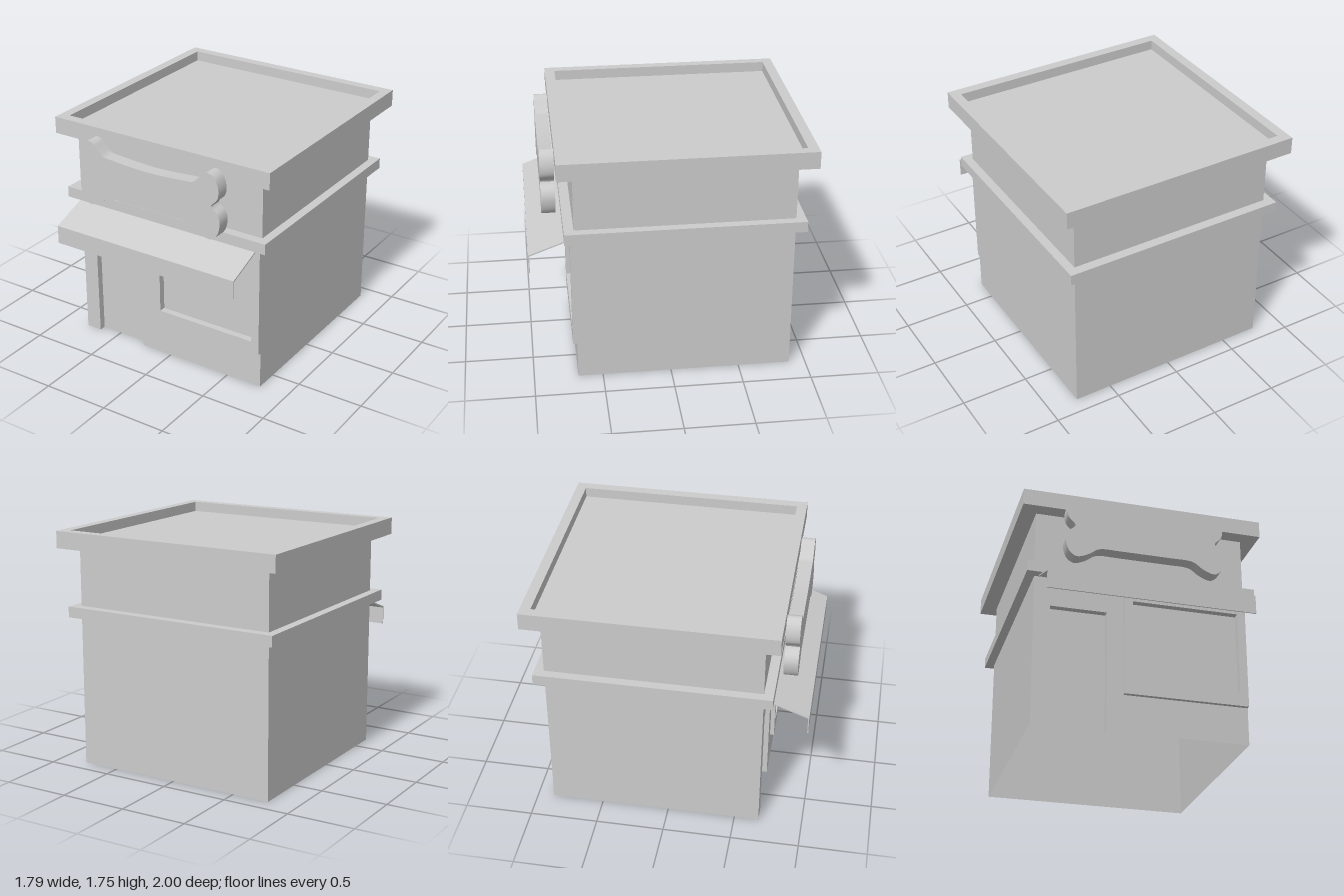
import * as THREE from 'three';
import { toCreasedNormals } from 'three/addons/utils/BufferGeometryUtils.js';

const grey = new THREE.MeshStandardMaterial({ color: 0xcccccc, side: THREE.DoubleSide });

// Rectangular sections: lying flat at height y, or upright at depth z
const flatRing = (y, hx, z0, z1) => [[-hx, y, z1], [hx, y, z1], [hx, y, z0], [-hx, y, z0]];
const uprightRing = (z, x0, x1, y0, y1) => [[x0, y0, z], [x1, y0, z], [x1, y1, z], [x0, y1, z]];

// Joins the rings with flat quads and caps the last; skipSide leaves out one side of the first band
function loft(rings, skipSide = -1) {
  const pos = [];
  const quad = (a, b, c, d) => pos.push(...a, ...b, ...c, ...a, ...c, ...d);
  for (let r = 0; r < rings.length - 1; r++) {
    for (let i = 0; i < 4; i++) {
      if (r === 0 && i === skipSide) continue;
      const j = (i + 1) % 4;
      quad(rings[r][i], rings[r][j], rings[r + 1][j], rings[r + 1][i]);
    }
  }
  quad(...rings[rings.length - 1]);
  const geo = new THREE.BufferGeometry();
  geo.setAttribute('position', new THREE.Float32BufferAttribute(pos, 3));
  geo.computeVertexNormals();
  return geo;
}

const shapeOf = (pts) => new THREE.Shape(pts.map(([x, y]) => new THREE.Vector2(x, y)));

export function createModel() {
  const group = new THREE.Group();
  const add = (name, geo) => {
    const mesh = new THREE.Mesh(geo, grey);
    mesh.name = name;
    group.add(mesh);
  };

  // Hollow walls with ledge, overhanging roof rim and sunken roof; open underneath
  add('buildingShell', loft([
    flatRing(0, 0.78, -0.88, 0.68),
    flatRing(1.12, 0.78, -0.88, 0.68),
    flatRing(1.12, 0.845, -0.95, 0.75),
    flatRing(1.2, 0.845, -0.95, 0.75),
    flatRing(1.2, 0.78, -0.88, 0.68),
    flatRing(1.63, 0.78, -0.88, 0.68),
    flatRing(1.63, 0.895, -1, 0.79),
    flatRing(1.755, 0.895, -1, 0.79),
    flatRing(1.755, 0.822, -0.925, 0.715),
    flatRing(1.68, 0.822, -0.925, 0.715),
  ], 0));

  // Front wall, cut out around the door and the window bay
  const wall = new THREE.ShapeGeometry(shapeOf([
    [-0.78, 0], [-0.66, 0], [-0.66, 0.9], [-0.25, 0.9], [-0.25, 0], [0.78, 0],
    [0.78, 0.28], [-0.13, 0.28], [-0.13, 1.12], [-0.78, 1.12],
  ]));
  add('frontWall', wall.translate(0, 0, 0.68));

  // Recessed door, without a sill
  const door = [-0.66, -0.25, 0, 0.9];
  add('door', loft([uprightRing(0.68, ...door), uprightRing(0.63, ...door)], 0));

  // Raised window frame with a recessed pane
  const frame = [-0.13, 0.78, 0.28, 1.118];
  const pane = [-0.065, 0.72, 0.375, 1.0];
  add('shopWindow', loft([
    uprightRing(0.68, ...frame), uprightRing(0.71, ...frame),
    uprightRing(0.71, ...pane), uprightRing(0.66, ...pane),
  ]));

  // Thin awning with a hanging front flap, profile in (z, y)
  const awning = new THREE.ExtrudeGeometry(shapeOf([
    [0.71, 1.116], [0.71, 1.106], [0.992, 1.0], [0.992, 0.87], [1, 0.87], [1, 1.008],
  ]), { depth: 1.505, bevelEnabled: false });
  add('awning', awning.rotateY(-Math.PI / 2).translate(0.7525, 0, 0));

  // Bone sign: left half of the outline, from top to bottom, then mirrored
  const half = [
    [0.3, 1.588], [0.375, 1.597], [0.425, 1.64], [0.465, 1.68], [0.505, 1.69], [0.55, 1.66],
    [0.577, 1.59], [0.57, 1.515], [0.518, 1.45], [0.57, 1.4], [0.588, 1.34], [0.562, 1.24],
    [0.507, 1.202], [0.42, 1.232], [0.36, 1.275], [0.31, 1.287], [0.2, 1.287],
  ];
  const outline = [
    [0, 1.572],
    ...half.map(([x, y]) => [-x, y]),
    ...half.slice().reverse(),
  ].map(([x, y]) => new THREE.Vector3(x - 0.017, y, 0));
  const curve = new THREE.CatmullRomCurve3(outline, true, 'centripetal');
  const bone = new THREE.ExtrudeGeometry(
    shapeOf(curve.getPoints(140).slice(0, -1).map((p) => [p.x, p.y])),
    { depth: 0.1, bevelEnabled: false },
  );
  add('boneSign', toCreasedNormals(bone.translate(0, 0, 0.79), 0.7));

  return group;
}
